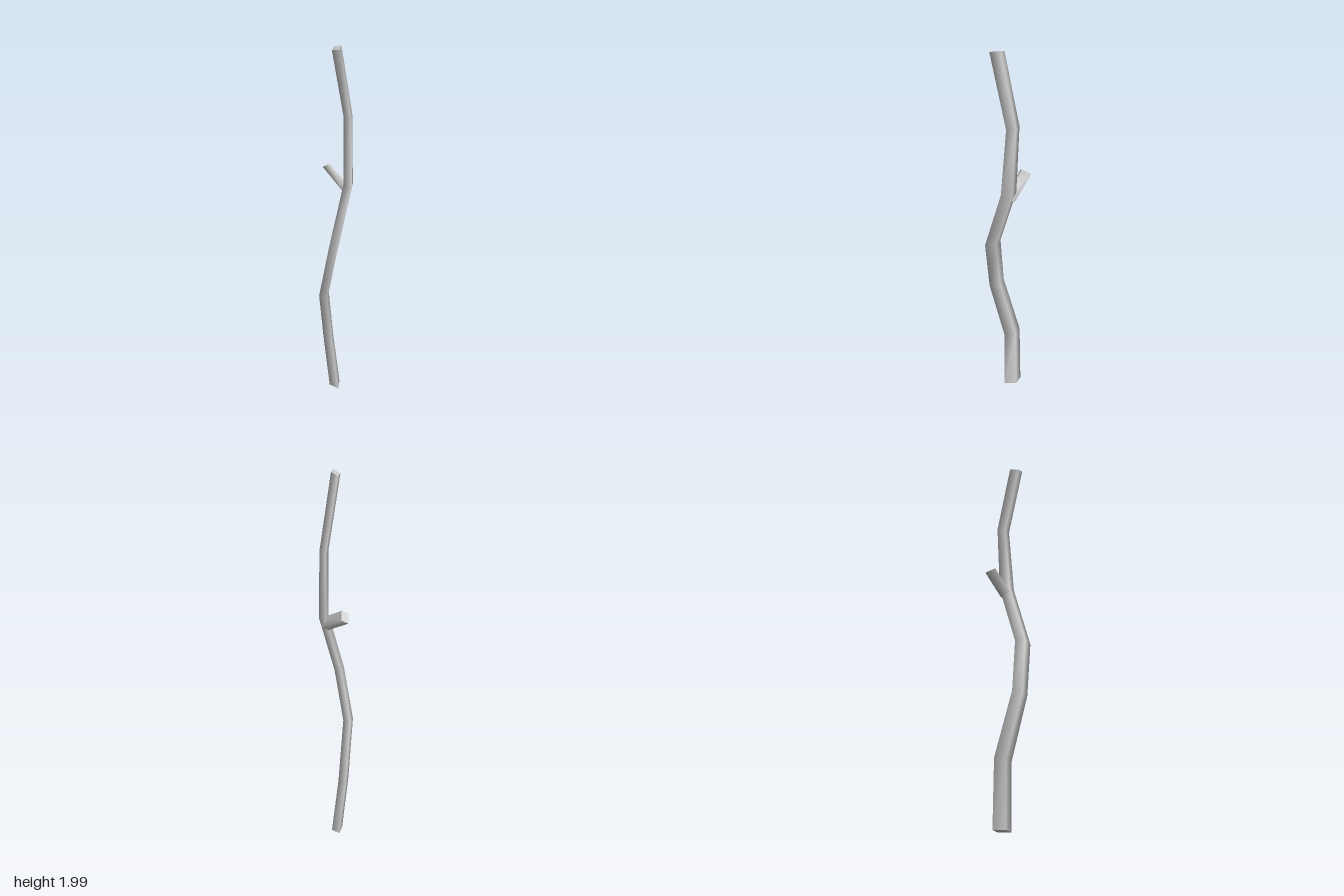
import * as THREE from 'three';

// Skin a list of four-cornered rings: smooth sides, flat caps
function skin(rings, name, material) {
  const pos = [], index = [], n = 4;
  rings.forEach(r => r.forEach(p => pos.push(...p)));
  for (let k = 0; k < rings.length - 1; k++) {
    for (let i = 0; i < n; i++) {
      const a = k * n + i, b = k * n + (i + 1) % n;
      index.push(a, b, b + n, a, b + n, a + n);
    }
  }
  const base = rings.length * n;
  rings[0].forEach(p => pos.push(...p));
  rings[rings.length - 1].forEach(p => pos.push(...p));
  index.push(base, base + 2, base + 1, base, base + 3, base + 2);
  index.push(base + 4, base + 5, base + 6, base + 4, base + 6, base + 7);
  const geo = new THREE.BufferGeometry();
  geo.setAttribute('position', new THREE.Float32BufferAttribute(pos, 3));
  geo.setIndex(index);
  geo.computeVertexNormals();
  const mesh = new THREE.Mesh(geo, material);
  mesh.name = name;
  return mesh;
}

export function createModel() {
  const group = new THREE.Group();
  group.name = 'stick';
  const material = new THREE.MeshStandardMaterial({ color: 0xcccccc });

  // Diamond cross-section: left, front, right, back
  const diamond = [[-1, 0], [0, 1], [1, -0.15], [0.08, -1]];

  // Crooked stem: x, y, z, half width, half depth, tilt along x, tilt along z
  const stem = [
    [0.015, 0, -0.015, 0.031, 0.05, 0, 0],
    [-0.016, 0.33, -0.029, 0.029, 0.047, 0.1, -0.05],
    [-0.065, 0.66, 0.036, 0.028, 0.042, 0.03, -0.15],
    [-0.03, 0.95, 0.076, 0.026, 0.044, -0.2, -0.03],
    [0.063, 1.28, 0.038, 0.026, 0.042, -0.1, 0.12],
    [0.067, 1.63, 0.018, 0.023, 0.035, 0.1, 0],
    [-0.006, 1.988, 0.057, 0.024, 0.038, 0.3, 0.15],
  ].map(([x, y, z, w, d, tx, tz]) => diamond.map(([u, v]) =>
    [x + u * w, y + u * w * tx + v * d * tz, z + v * d]));
  group.add(skin(stem, 'stem', material));

  // Short broken twig, its root buried in the stem
  const tip = [
    [-0.022, 1.335, -0.08], [0.008, 1.35, -0.07],
    [0.025, 1.32, -0.11], [-0.005, 1.305, -0.125],
  ];
  const root = tip.map(([x, y, z]) => [x + 0.057, y - 0.085, z + 0.125]);
  group.add(skin([root, tip], 'twig', material));
  return group;
}
